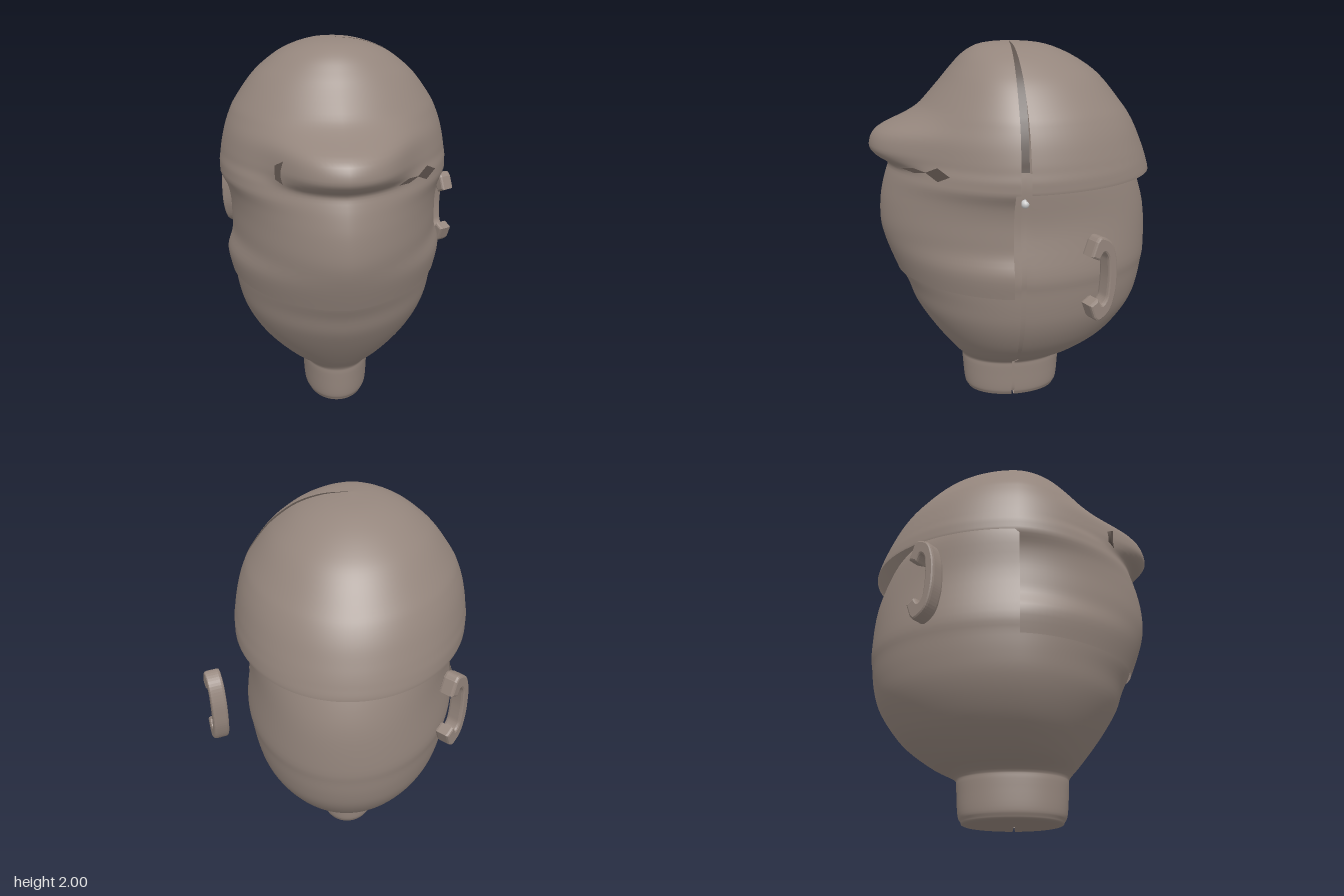
import * as THREE from 'three';

const CX = -0.065, CZ = 0.013;
const skin = new THREE.MeshStandardMaterial({ color: 0x95867d, side: THREE.DoubleSide });
const dark = new THREE.MeshStandardMaterial({ color: 0x5d524c, side: THREE.DoubleSide });
const pale = new THREE.MeshStandardMaterial({ color: 0xcccccc });

// Cross-section rows: height, half width, front depth, back depth, roundness, brow bulge
const SHELL = [
  [2, 0, 0, 0, 2, 0], [1.985, 0.135, 0.15, 0.17, 2, 0], [1.94, 0.26, 0.24, 0.3, 1.95, 0],
  [1.87, 0.36, 0.31, 0.42, 1.9, 0], [1.8, 0.43, 0.37, 0.5, 1.85, 0], [1.69, 0.508, 0.47, 0.59, 1.75, 0],
  [1.63, 0.538, 0.53, 0.635, 1.7, 0.03], [1.56, 0.563, 0.59, 0.675, 1.68, 0.115],
  [1.48, 0.582, 0.61, 0.71, 1.68, 0.135], [1.43, 0.59, 0.62, 0.73, 1.68, 0.1],
  [1.385, 0.597, 0.64, 0.745, 1.7, 0.015], [1.33, 0.597, 0.665, 0.76, 1.7, 0],
  [1.26, 0.565, 0.685, 0.76, 1.72, 0], [1.18, 0.55, 0.7, 0.76, 1.73, 0], [1.08, 0.548, 0.705, 0.76, 1.74, 0],
  [1, 0.552, 0.695, 0.76, 1.74, 0], [0.9, 0.58, 0.665, 0.76, 1.74, 0], [0.78, 0.56, 0.62, 0.75, 1.76, 0],
];
const HEAD = [
  [1.42, 0.53, 0.58, 0.62, 1.7, 0], [1.33, 0.54, 0.62, 0.68, 1.7, 0], [1.13, 0.53, 0.65, 0.745, 1.74, 0],
  [0.9, 0.56, 0.63, 0.76, 1.74, 0], [0.8, 0.55, 0.615, 0.75, 1.76, 0], [0.7, 0.537, 0.57, 0.735, 1.78, 0],
  [0.6, 0.515, 0.535, 0.705, 1.8, 0], [0.5, 0.472, 0.478, 0.645, 1.82, 0], [0.4, 0.405, 0.41, 0.56, 1.85, 0],
  [0.3, 0.3, 0.333, 0.425, 1.95, 0], [0.235, 0.195, 0.28, 0.305, 2.05, 0], [0.19, 0.185, 0.275, 0.29, 2.1, 0],
  [0.06, 0.178, 0.265, 0.28, 2.1, 0], [0.02, 0.168, 0.25, 0.265, 2.1, 0],
  [0, 0.14, 0.215, 0.23, 2.1, 0], [0, 0, 0, 0, 2.1, 0],
];

// Smooth interpolation between neighbouring rows
function sampleRow(rows, t) {
  const i = Math.min(Math.floor(t), rows.length - 2), f = t - i;
  const r = k => rows[Math.max(0, Math.min(rows.length - 1, k))];
  return r(i).map((b, c) => {
    const a = r(i - 1)[c], d = r(i + 1)[c], e = r(i + 2)[c];
    const v = b + 0.5 * f * (d - a + f * (2 * a - 5 * b + 4 * d - e + f * (3 * (b - d) + e - a)));
    return Math.max(Math.min(b, d), Math.min(Math.max(b, d), v));
  });
}

// Lofted surface, open along a narrow slit on the +x side
function loft(rows, gap, keep) {
  const N = 112, M = (rows.length - 1) * 4, pos = [], idx = [];
  for (let j = 0; j <= M; j++) {
    const [y, w, zf, zb, n, bulge] = sampleRow(rows, j / 4);
    for (let i = 0; i <= N; i++) {
      const a = gap + (Math.PI * 2 - 2 * gap) * i / N;
      const c = Math.cos(a), s = Math.sin(a);
      // The face tapers a little more on its left side
      const p = 2 / (s > 0 ? (c > 0 ? n - 0.1 : n) : Math.max(2, n));
      const dx = w * Math.sign(c) * Math.abs(c) ** p;
      let z = (s > 0 ? zf : -zb) * Math.abs(s) ** p;
      // Broad rounded brow
      if (s > 0) z += bulge * Math.exp(-((dx / 0.3) ** 4)) * (1 - 0.9 * dx * dx);
      pos.push(CX + dx, y, CZ + z);
    }
  }
  for (let j = 0; j < M; j++) for (let i = 0; i < N; i++) {
    const a = j * (N + 1) + i, b = a + 1, c = a + N + 1, d = c + 1;
    idx.push(a, b, c, b, d, c);
  }
  const g = new THREE.BufferGeometry();
  g.setAttribute('position', new THREE.Float32BufferAttribute(pos, 3));
  g.setIndex(idx);
  g.computeVertexNormals();
  // Trim after the normals are made, so the cut edges stay smoothly shaded
  if (keep) {
    const kept = [];
    for (let k = 0; k < idx.length; k += 3) {
      const t = idx.slice(k, k + 3);
      if (t.every(v => keep(pos[v * 3 + 1], pos[v * 3 + 2]))) kept.push(...t);
    }
    g.setIndex(kept);
  }
  return g;
}

// Ribbon set just inside the slit
function lining(rows, inset) {
  const M = (rows.length - 1) * 4, g = new THREE.PlaneGeometry(1, 1, 1, M), p = g.attributes.position;
  for (let k = 0; k < p.count; k++) {
    const [y, w] = sampleRow(rows, Math.floor(k / 2) / 4);
    p.setXYZ(k, CX + Math.max(0, w - inset), y, CZ + (k % 2 ? -1 : 1) * Math.min(0.04, w * 0.15));
  }
  g.computeVertexNormals();
  return g;
}

function mesh(name, geometry, material = skin) {
  const m = new THREE.Mesh(geometry, material);
  m.name = name;
  return m;
}

// Hooked C-shaped ear running from its open ends to its bulge in the xz plane
function ear(name, ends, bulge, y) {
  const vec = (list, flip) => list.map(([u, v]) => new THREE.Vector2(u, flip ? -v : v));
  const outer = [[0, 0.125], [0.028, 0.197], [0.06, 0.217], [0.125, 0.178], [0.158, 0.09]];
  const inner = [[0.108, 0.07], [0.1, 0.11], [0.075, 0.135], [0.05, 0.1]];
  const shape = new THREE.Shape();
  shape.moveTo(0, 0.125);
  shape.lineTo(0.028, 0.197);
  shape.splineThru([...vec(outer.slice(2)), new THREE.Vector2(0.165, 0), ...vec(outer.slice(1), true).reverse()]);
  shape.lineTo(0, -0.125);
  shape.lineTo(0.05, -0.1);
  shape.splineThru([...vec(inner.slice(0, 3), true).reverse(), new THREE.Vector2(0.112, 0), ...vec(inner)]);
  const g = new THREE.ExtrudeGeometry(shape, {
    depth: 0.052, curveSegments: 5, bevelSize: 0.01, bevelOffset: -0.01, bevelThickness: 0.014, bevelSegments: 2,
  });
  g.translate(0, 0, -0.026);
  const m = mesh(name, g);
  m.position.set(ends[0], y, ends[1]);
  m.rotation.y = Math.atan2(ends[1] - bulge[1], bulge[0] - ends[0]);
  return m;
}

export function createModel() {
  const model = new THREE.Group();
  model.name = 'head';

  // Outer shell: crown all round, face band in front only
  model.add(mesh('crownAndFaceBand', loft(SHELL, 0.05, (y, z) => y > 1.325 || z > 0.035)));

  // Head, jaw and neck beneath it
  model.add(mesh('headAndNeck', loft(HEAD, 0.025)));

  // Backing of the slit in crown and head
  model.add(mesh('crownSlitLining', lining(SHELL.slice(0, 12), 0.1), dark));
  model.add(mesh('headSlitLining', lining(HEAD.slice(0, 14), 0.025)));

  // Ears, standing off the head
  model.add(ear('leftEar', [0.648, -0.27], [0.576, -0.414], 0.935));
  model.add(ear('rightEar', [-0.553, -0.487], [-0.65, -0.355], 1.07));

  // Narrow eye opening under the brow: two joined slivers
  for (const [x, z, w, h] of [[0.24, 0.53, 0.09, 0.012], [0.35, 0.415, 0.08, 0.035]]) {
    const shape = new THREE.Shape([[-w, 0], [0, -h], [w, 0], [0, h]].map(p => new THREE.Vector2(...p)));
    const sliver = mesh('eyeOpening', new THREE.ShapeGeometry(shape), dark);
    sliver.position.set(x, 1.4, z);
    sliver.rotation.y = 0.8;
    model.add(sliver);
  }

  // Chip set into the other side of the brow
  const chip = mesh('browChip', new THREE.CylinderGeometry(0.065, 0.065, 0.05, 6), dark);
  chip.rotation.set(Math.PI / 2, 0, 0.45);
  chip.position.set(-0.33, 1.465, 0.53);
  model.add(chip);

  // Bead inside the slit
  const bead = mesh('slitBead', new THREE.SphereGeometry(0.022, 12, 8), pale);
  bead.position.set(0.46, 1.27, 0);
  model.add(bead);

  return model;
}
